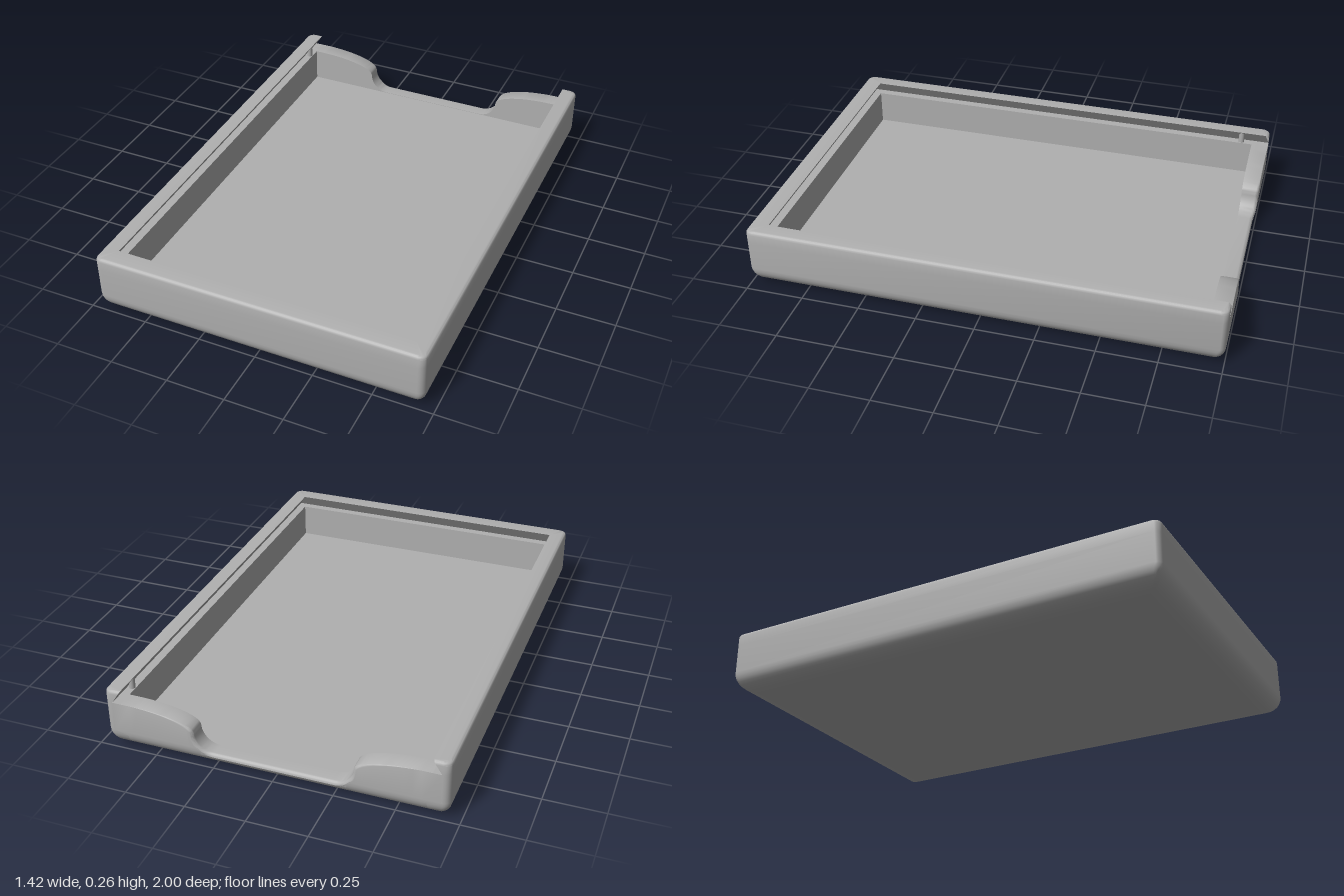
import * as THREE from 'three';
import { toCreasedNormals } from 'three/addons/utils/BufferGeometryUtils.js';

const A = 0.71, B = 1, H = 0.265;        // half width, half length, height
const LEDGE = 0.21, FLOOR = 0.058;       // lid ledge and inner floor heights
const RB = 0.08, RT = 0.015;             // bottom and top edge rounding
const IN_X = 0.64, IN_Z = 0.92, GROOVE = 0.676;

// Skin a grid of points: rows are stations, columns are profile points
function skin(rows) {
  const pos = [];
  const tri = (a, b, c) => {
    const n = b.clone().sub(a).cross(c.clone().sub(a));
    if (n.length() > 1e-9) pos.push(...a, ...b, ...c);
  };
  for (let s = 0; s < rows.length - 1; s++) {
    for (let p = 0; p < rows[s].length - 1; p++) {
      const a = rows[s][p], b = rows[s + 1][p], c = rows[s + 1][p + 1], d = rows[s][p + 1];
      tri(a, b, c);
      tri(a, c, d);
    }
  }
  const g = new THREE.BufferGeometry();
  g.setAttribute('position', new THREE.Float32BufferAttribute(pos, 3));
  return toCreasedNormals(g, 0.6);
}

// Outer skin, rim, undercut lid groove and inner walls on three sides
function wallGeometry() {
  const profile = [];
  for (let j = 0; j <= 8; j++) {
    const t = (j / 8) * Math.PI / 2;
    profile.push({ i: RB * (1 - Math.sin(t)), y: RB * (1 - Math.cos(t)) });
  }
  profile.push({ i: 0, y: LEDGE });
  for (let j = 0; j <= 4; j++) {
    const t = (j / 4) * Math.PI / 2;
    profile.push({ i: RT * (1 - Math.cos(t)), y: H - RT + RT * Math.sin(t) });
  }
  profile.push({ x: IN_X, z: IN_Z, y: H, back: -B + RT });
  profile.push({ x: GROOVE, z: IN_Z + 0.036, y: LEDGE, back: -B });
  profile.push({ x: IN_X, z: IN_Z, y: LEDGE, back: -B });
  profile.push({ x: IN_X, z: IN_Z, y: FLOOR, back: -0.99 });

  const endX = (y) => {
    if (y < RB - 1e-6) return 0.62;
    return y <= LEDGE ? GROOVE : GROOVE + (IN_X - GROOVE) * (y - LEDGE) / (H - LEDGE);
  };
  const corners = [[-1, -1, 1.5], [-1, 1, 1], [1, 1, 0.5], [1, -1, 0]];
  const STEPS = 5, rows = [];
  const end = (sx) => profile.map((p) => p.x !== undefined
    ? new THREE.Vector3(sx * p.x, p.y, p.back)
    : new THREE.Vector3(sx * endX(p.y), p.y, -B + p.i));
  rows.push(end(-1));
  for (const [sx, sz, start] of corners) {
    for (let k = 0; k <= STEPS; k++) {
      const t = (start - 0.5 * k / STEPS) * Math.PI;
      rows.push(profile.map((p) => {
        if (p.x !== undefined) return new THREE.Vector3(sx * p.x, p.y, sz < 0 ? p.back : p.z);
        const r = 0.03 * (1 - p.i / RB);
        return new THREE.Vector3(
          sx * (A - p.i - r) + r * Math.cos(t), p.y, sz * (B - p.i - r) + r * Math.sin(t));
      }));
    }
  }
  rows.push(end(1));
  return skin(rows);
}

// Low back wall with a finger scoop: convex shoulders, concave feet, flat middle
function backWallGeometry() {
  const half = [{ x: GROOVE, h: LEDGE, nx: 0, ny: 1, r: 0 }];
  const N = 12;
  for (let k = 0; k <= N; k++) {
    const t = (k / N) * Math.PI / 2;
    const n = new THREE.Vector2(-Math.sin(t) / 0.27, Math.cos(t) / 0.07).normalize();
    half.push({ x: 0.6 - 0.27 * Math.sin(t), h: 0.14 + 0.07 * Math.cos(t), nx: n.x, ny: n.y, r: 0.015 * k / N });
  }
  for (let k = 1; k <= N; k++) {
    const t = (k / N) * Math.PI / 2;
    half.push({
      x: 0.25 + 0.08 * Math.cos(t), h: 0.14 - 0.08 * Math.sin(t),
      nx: -Math.cos(t), ny: Math.sin(t), r: 0.015 });
  }
  const path = half.concat(half.slice().reverse().map((q) => ({ ...q, x: -q.x, nx: -q.nx })));
  const rows = path.map((q) => {
    const low = Math.abs(q.x) > 0.62 ? Math.sign(q.x) * 0.62 : q.x;
    const top = q.h - q.r * q.ny;
    const tMax = Math.acos(1 - Math.min(RB, top) / RB);
    const zOut = -B + RB - RB * Math.sin(tMax);
    const row = [];
    for (let j = 0; j <= 8; j++) {
      const t = tMax * j / 8;
      row.push(new THREE.Vector3(j < 8 ? low : q.x, RB * (1 - Math.cos(t)), -B + RB - RB * Math.sin(t)));
    }
    for (let j = 0; j <= 4; j++) {
      const t = (j / 4) * Math.PI / 2, d = q.r * (1 - Math.sin(t));
      row.push(new THREE.Vector3(q.x - q.nx * d, q.h - q.ny * d, zOut + q.r * (1 - Math.cos(t))));
    }
    row.push(new THREE.Vector3(q.x, q.h, -0.925), new THREE.Vector3(q.x, FLOOR, -0.925));
    return row;
  });
  return skin(rows);
}

export function createModel() {
  const group = new THREE.Group();
  const grey = new THREE.MeshStandardMaterial({ color: 0xb0b0b0, side: THREE.DoubleSide });
  grey.name = 'plain grey';
  const add = (name, geometry) => {
    const mesh = new THREE.Mesh(geometry, grey);
    mesh.name = name;
    group.add(mesh);
    return mesh;
  };

  add('walls', wallGeometry());
  add('backWall', backWallGeometry());

  // Inner floor and flat underside
  const floor = add('floor', new THREE.PlaneGeometry(2 * IN_X, IN_Z + 0.925));
  floor.rotation.x = -Math.PI / 2;
  floor.position.set(0, FLOOR, (IN_Z - 0.925) / 2);
  const underside = add('underside', new THREE.PlaneGeometry(2 * (A - RB), 2 * (B - RB)));
  underside.rotation.x = Math.PI / 2;

  // Small detent pins in the lid grooves
  for (const side of [-1, 1]) {
    const pin = add(side > 0 ? 'leftDetent' : 'rightDetent',
      new THREE.CylinderGeometry(0.013, 0.013, H - LEDGE, 16));
    pin.position.set(side * 0.655, (H + LEDGE) / 2, -0.875);
  }
  return group;
}
